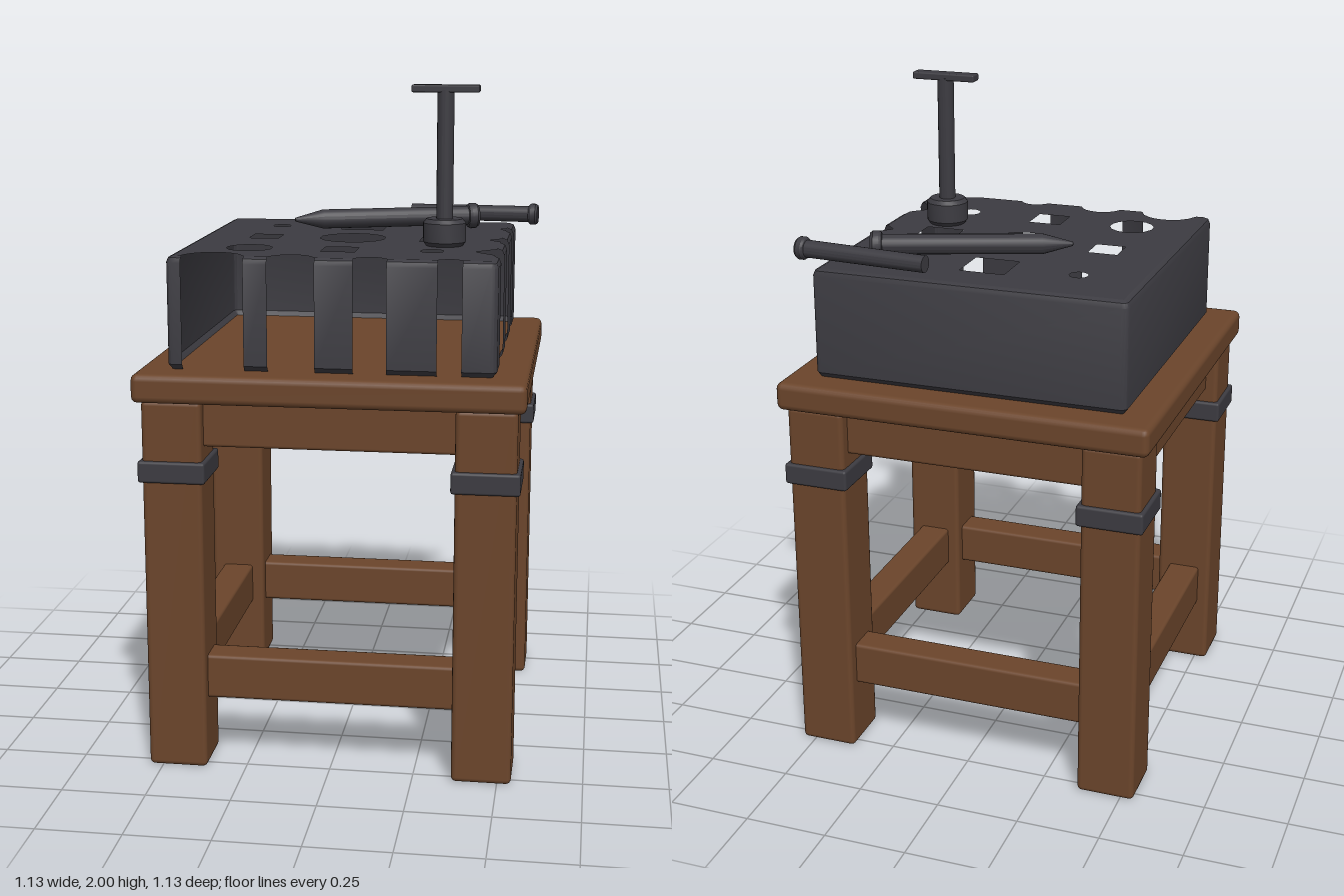
import * as THREE from 'three';
import { RoundedBoxGeometry } from 'three/addons/geometries/RoundedBoxGeometry.js';
import { toCreasedNormals } from 'three/addons/utils/BufferGeometryUtils.js';

const wood = new THREE.MeshStandardMaterial({ color: 0x6b452b });
wood.name = 'wood';
const iron = new THREE.MeshStandardMaterial({ color: 0x3c3b41, side: THREE.DoubleSide });
iron.name = 'iron';

const CORE = 0.455, BEVEL = 0.02, BASE = 1.2, TOP = 1.53;
// half-round grooves on the front edge: [x, radius]
const ROUNDS = [[-0.34, 0.09], [-0.113, 0.068], [0.113, 0.048], [0.34, 0.035]];
// vee notches on the left edge: [z, half width]
const VEES = [[0.27, 0.08], [0, 0.054], [-0.275, 0.04]];
// holes through the top: [x, z, radius or half side, number of sides]
const HOLES = [
  [-0.27, -0.275, 0.028, 12], [0, -0.275, 0.068, 4], [0.275, -0.275, 0.04, 12],
  [-0.27, 0, 0.045, 4], [0, 0, 0.101, 14], [0.27, 0, 0.059, 4],
  [-0.27, 0.27, 0.068, 14], [0, 0.27, 0.05, 4], [0.27, 0.27, 0.034, 12],
];

function add(group, name, geometry, material, x = 0, y = 0, z = 0) {
  const mesh = new THREE.Mesh(geometry, material);
  mesh.name = name;
  mesh.position.set(x, y, z);
  group.add(mesh);
  return mesh;
}

const box = (w, h, d, r = 0.015) => new RoundedBoxGeometry(w, h, d, 2, r);

// turned part from [radius, height] pairs
const turned = (points, sides = 20) => toCreasedNormals(
  new THREE.LatheGeometry(points.map(([r, y]) => new THREE.Vector2(r, y)), sides), 0.5);

// pierced top face of the block
function blockTop() {
  const pts = [[-CORE, -CORE], [-CORE, CORE]];
  for (const [x, r] of ROUNDS) {
    for (let i = 0; i <= 10; i++) {
      const a = Math.PI * i / 10;
      pts.push([x - r * Math.cos(a), Math.min(CORE, 0.475 - r * Math.sin(a))]);
    }
  }
  pts.push([CORE, CORE]);
  for (const [z, h] of VEES) {
    const w = h - BEVEL;
    pts.push([CORE, z + w], [CORE + BEVEL - h, z], [CORE, z - w]);
  }
  pts.push([CORE, -CORE]);
  const flat = ([x, z]) => new THREE.Vector2(x, -z);
  const shape = new THREE.Shape(pts.map(flat));
  for (const [x, z, r, n] of HOLES) {
    const radius = n === 4 ? r * Math.SQRT2 : r;
    const ring = Array.from({ length: n }, (_, i) => {
      const a = (i + 0.5) / n * Math.PI * 2;
      return flat([x + radius * Math.cos(a), z + radius * Math.sin(a)]);
    });
    shape.holes.push(new THREE.Path(ring));
  }
  return new THREE.ShapeGeometry(shape).rotateX(-Math.PI / 2);
}

// wall swept along [x, z, angle] points with bevelled upper and lower edges
function wall(path) {
  const profile = [[0.008, BASE], [BEVEL, BASE + 0.015], [BEVEL, TOP - 0.02],
    [0.014, TOP - 0.006], [0, TOP]];
  const pos = [], index = [], n = profile.length;
  path.forEach(([x, z, a], i) => {
    for (const [d, y] of profile) pos.push(x + d * Math.cos(a), y, z + d * Math.sin(a));
    if (i === 0) return;
    for (let j = 0; j < n - 1; j++) {
      const p = (i - 1) * n + j, q = p + n;
      index.push(p, p + 1, q, q, p + 1, q + 1);
    }
  });
  const g = new THREE.BufferGeometry();
  g.setAttribute('position', new THREE.Float32BufferAttribute(pos, 3));
  g.setIndex(index);
  return toCreasedNormals(g, 0.5);
}

const corner = (sx, sz, from) => [0, 1, 2, 3].map(
  (i) => [sx * CORE, sz * CORE, from + i * Math.PI / 6]);

function buildBlock() {
  const block = new THREE.Group();
  block.name = 'swageBlock';
  add(block, 'blockTop', blockTop(), iron, 0, TOP, 0);
  const H = Math.PI / 2;
  const [firstRound, lastRound] = [ROUNDS[0], ROUNDS[3]];
  const [firstVee, lastVee] = [VEES[0], VEES[2]];
  // plain right and back walls, running round to the first groove at each end
  add(block, 'plainWalls', wall([
    [firstRound[0] - firstRound[1], CORE, H], ...corner(-1, 1, H), ...corner(-1, -1, 2 * H),
    ...corner(1, -1, 3 * H), [CORE, lastVee[0] - lastVee[1], 4 * H]]), iron);
  // corner between the two grooved sides
  add(block, 'cornerWall', wall([
    [CORE, firstVee[0] + firstVee[1], 0], ...corner(1, 1, 0),
    [lastRound[0] + lastRound[1], CORE, H]]), iron);
  // strips left standing between the grooves
  for (let i = 0; i < ROUNDS.length - 1; i++) {
    const [a, b] = [ROUNDS[i], ROUNDS[i + 1]];
    add(block, 'frontStrip', wall([[b[0] - b[1], CORE, H], [a[0] + a[1], CORE, H]]), iron);
  }
  for (let i = 0; i < VEES.length - 1; i++) {
    const [a, b] = [VEES[i], VEES[i + 1]];
    add(block, 'sideStrip', wall([[CORE, b[0] + b[1], 0], [CORE, a[0] - a[1], 0]]), iron);
  }
  return block;
}

function buildStand() {
  const stand = new THREE.Group();
  stand.name = 'stand';
  add(stand, 'tableTop', box(1.13, 0.085, 1.13, 0.02), wood, 0, 1.1575, 0);
  for (const sx of [-1, 1]) for (const sz of [-1, 1]) {
    add(stand, 'leg', box(0.176, 1.12, 0.176), wood, sx * 0.453, 0.56, sz * 0.453);
    add(stand, 'legBand', box(0.198, 0.064, 0.198, 0.008), iron, sx * 0.453, 0.91, sz * 0.453);
  }
  for (let i = 0; i < 4; i++) {
    const side = new THREE.Group();
    side.name = 'rails';
    side.rotation.y = i * Math.PI / 2;
    add(side, 'apron', box(0.76, 0.14, 0.1, 0.01), wood, 0, 1.05, 0.453);
    add(side, 'stretcher', box(0.76, 0.133, 0.1, 0.01), wood, 0, 0.275, 0.453);
    stand.add(side);
  }
  return stand;
}

// lays a tool, turned along y, flat from one [x, z] point towards another
function layDown(group, name, profile, y, from, to) {
  const tool = add(group, name, turned(profile), iron, from[0], y, from[1]);
  const dir = new THREE.Vector3(to[0] - from[0], 0, to[1] - from[1]).normalize();
  tool.quaternion.setFromUnitVectors(new THREE.Vector3(0, 1, 0), dir);
}

function buildTools() {
  const tools = new THREE.Group();
  tools.name = 'tools';
  // upright tool with crossbar
  const upright = new THREE.Group();
  upright.name = 'uprightTool';
  upright.position.set(0.293, 0, 0.134);
  add(upright, 'collar', turned([[0, 1.53], [0.055, 1.53], [0.064, 1.542], [0.064, 1.598],
    [0.054, 1.61], [0, 1.61]]), iron);
  add(upright, 'shaft', turned([[0.025, 1.6], [0.025, 1.985], [0, 1.985]]), iron);
  add(upright, 'crossbar', box(0.2, 0.022, 0.046, 0.005), iron, 0, 1.989, 0);
  tools.add(upright);
  // pointed punch and plain drift lying on the block
  layDown(tools, 'punch', [[0, 0], [0.006, 0.002], [0.03, 0.09], [0.03, 0.56], [0.036, 0.562],
    [0.04, 0.57], [0.04, 0.587], [0.034, 0.595], [0, 0.595]], 1.57, [-0.2, -0.107], [0.36, -0.308]);
  layDown(tools, 'drift', [[0, 0], [0.025, 0], [0.026, 0.385], [0.03, 0.387], [0.034, 0.393],
    [0.034, 0.408], [0.029, 0.415], [0, 0.415]], 1.566, [0.136, -0.433], [0.55, -0.397]);
  return tools;
}

export function createModel() {
  const model = new THREE.Group();
  model.name = 'swageBlockOnStand';
  model.add(buildStand(), buildBlock(), buildTools());
  return model;
}
